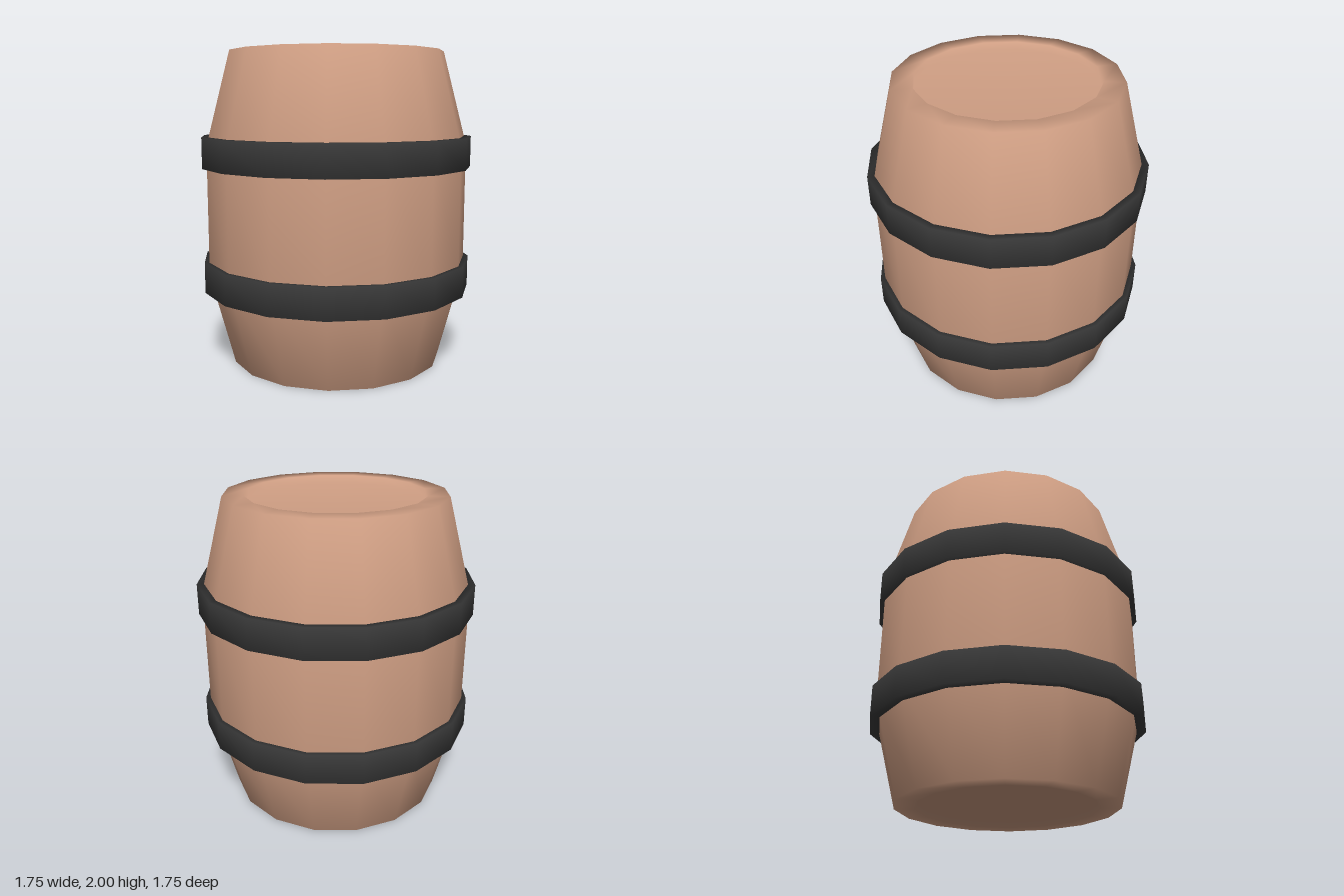
import * as THREE from 'three';

const SIDES = 16;

// Revolve a list of [radius, height] points; upward order faces outward
function revolve(name, points, material) {
  const profile = points.map(([r, y]) => new THREE.Vector2(r, y));
  const mesh = new THREE.Mesh(new THREE.LatheGeometry(profile, SIDES), material);
  mesh.name = name;
  return mesh;
}

export function createModel() {
  const barrel = new THREE.Group();
  barrel.name = 'barrel';
  const wood = new THREE.MeshStandardMaterial({ color: 0xd09f84 });
  const iron = new THREE.MeshStandardMaterial({ color: 0x383838 });

  // Body with flat rims and a shallow recessed lid at both ends
  barrel.add(revolve('body', [
    [0, 0.05], [0.56, 0.05], [0.56, 0], [0.69, 0],
    [0.845, 0.59], [0.845, 1.41],
    [0.69, 2], [0.56, 2], [0.56, 1.95], [0, 1.95],
  ], wood));

  // Two metal hoops, closed rings with their inner face inside the wood
  for (const [name, y0, y1] of [['lowerHoop', 0.48, 0.675], ['upperHoop', 1.27, 1.465]]) {
    barrel.add(revolve(name, [
      [0.8, y0], [0.875, y0], [0.875, y1], [0.8, y1], [0.8, y0],
    ], iron));
  }
  return barrel;
}
